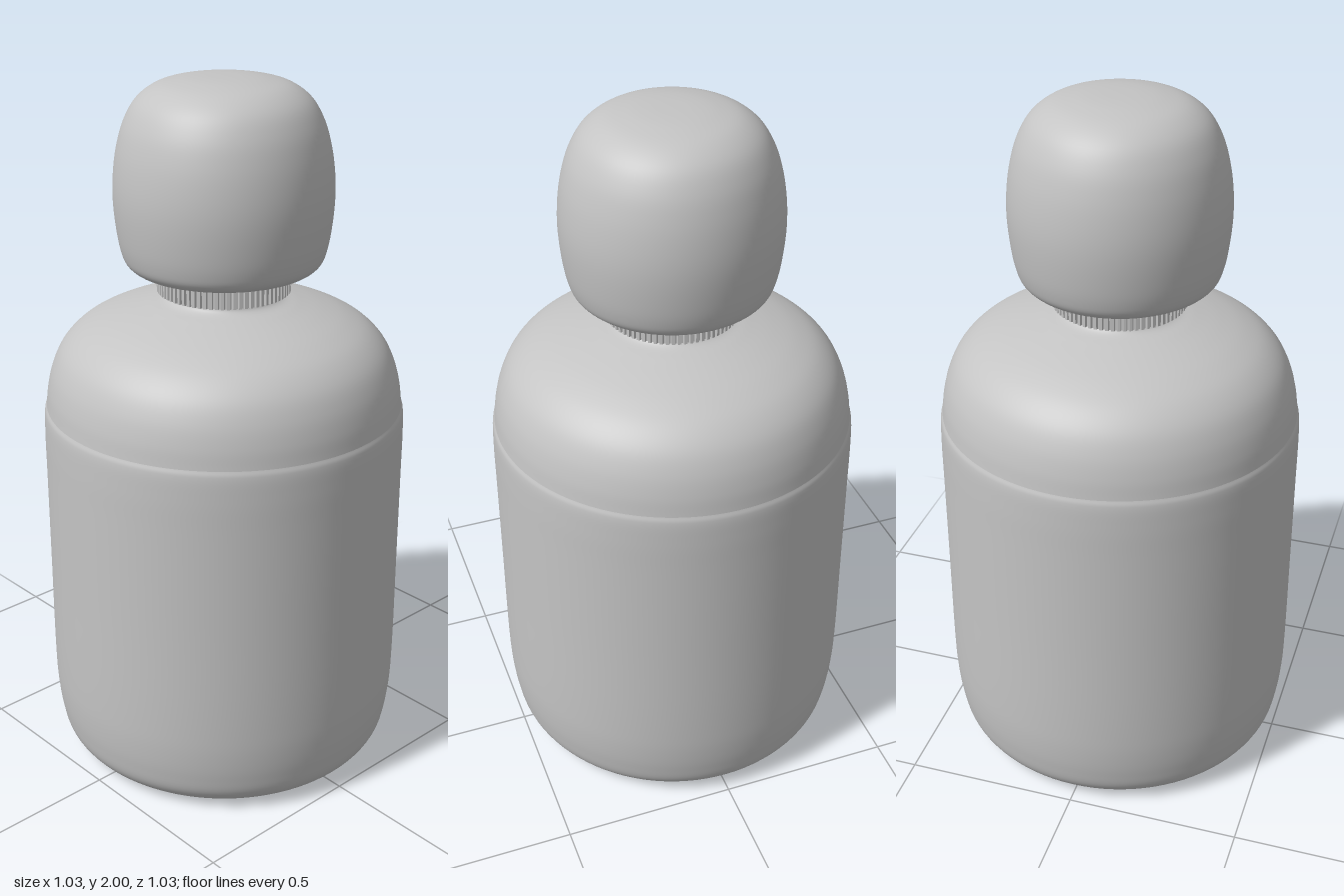
import * as THREE from 'three';

const grey = new THREE.MeshStandardMaterial({ color: 0xc4c4c4 });
grey.name = 'plain grey';

// Smooth surface of revolution through [radius, height] points, listed bottom to top
function turned(name, points, divisions = 64) {
  const curve = new THREE.CatmullRomCurve3(
    points.map(([r, y]) => new THREE.Vector3(r, y, 0)), false, 'centripetal');
  const profile = curve.getPoints(divisions).map(p => new THREE.Vector2(Math.max(p.x, 0), p.y));
  const mesh = new THREE.Mesh(new THREE.LatheGeometry(profile, 96), grey);
  mesh.name = name;
  return mesh;
}

// Flat disc closing the underside of a part
function underside(name, radius, y) {
  const mesh = new THREE.Mesh(new THREE.CircleGeometry(radius, 96), grey);
  mesh.name = name;
  mesh.rotation.x = Math.PI / 2;
  mesh.position.y = y;
  return mesh;
}

export function createModel() {
  const bottle = new THREE.Group();
  bottle.name = 'bottle';

  // Body: rounded base, straight wall and a slightly stepped shoulder
  bottle.add(
    underside('bodyBase', 0.36, 0),
    turned('bodyWall', [
      [0.36, 0], [0.41, 0.005], [0.455, 0.022], [0.487, 0.06], [0.502, 0.12], [0.511, 0.2],
      [0.514, 0.3], [0.514, 0.6], [0.514, 0.9], [0.514, 1.0], [0.511, 1.07], [0.506, 1.085],
    ]),
    turned('shoulder', [
      [0.506, 1.085], [0.499, 1.14], [0.483, 1.2], [0.455, 1.255], [0.41, 1.3], [0.35, 1.333],
      [0.28, 1.358], [0.21, 1.377], [0.165, 1.389], [0.153, 1.4], [0.15, 1.43], [0.15, 1.48],
    ]),
  );

  // Ribbed collar extruded from a toothed ring
  const ribs = 72;
  const outline = [];
  for (let i = 0; i < ribs; i++) {
    [[0, 0.187], [0.5, 0.187], [0.62, 0.18], [0.88, 0.18]].forEach(([t, r]) => {
      const a = ((i + t) / ribs) * Math.PI * 2;
      outline.push(new THREE.Vector2(r * Math.cos(a), r * Math.sin(a)));
    });
  }
  const ring = new THREE.Shape(outline);
  ring.holes.push(new THREE.Path().absarc(0, 0, 0.148, 0, Math.PI * 2, true));
  const collarGeometry = new THREE.ExtrudeGeometry(ring, { depth: 0.07, bevelEnabled: false, curveSegments: 32 });
  collarGeometry.rotateX(-Math.PI / 2);
  const collar = new THREE.Mesh(collarGeometry, grey);
  collar.name = 'ribbedCollar';
  collar.position.y = 1.412;
  bottle.add(collar);

  // Domed cap
  bottle.add(
    underside('capBase', 0.225, 1.478),
    turned('cap', [
      [0.225, 1.478], [0.25, 1.482], [0.272, 1.5], [0.285, 1.535], [0.296, 1.6], [0.302, 1.68],
      [0.299, 1.75], [0.288, 1.82], [0.268, 1.885], [0.235, 1.94], [0.185, 1.976],
      [0.12, 1.993], [0.06, 1.999], [0, 2],
    ]),
  );

  return bottle;
}
